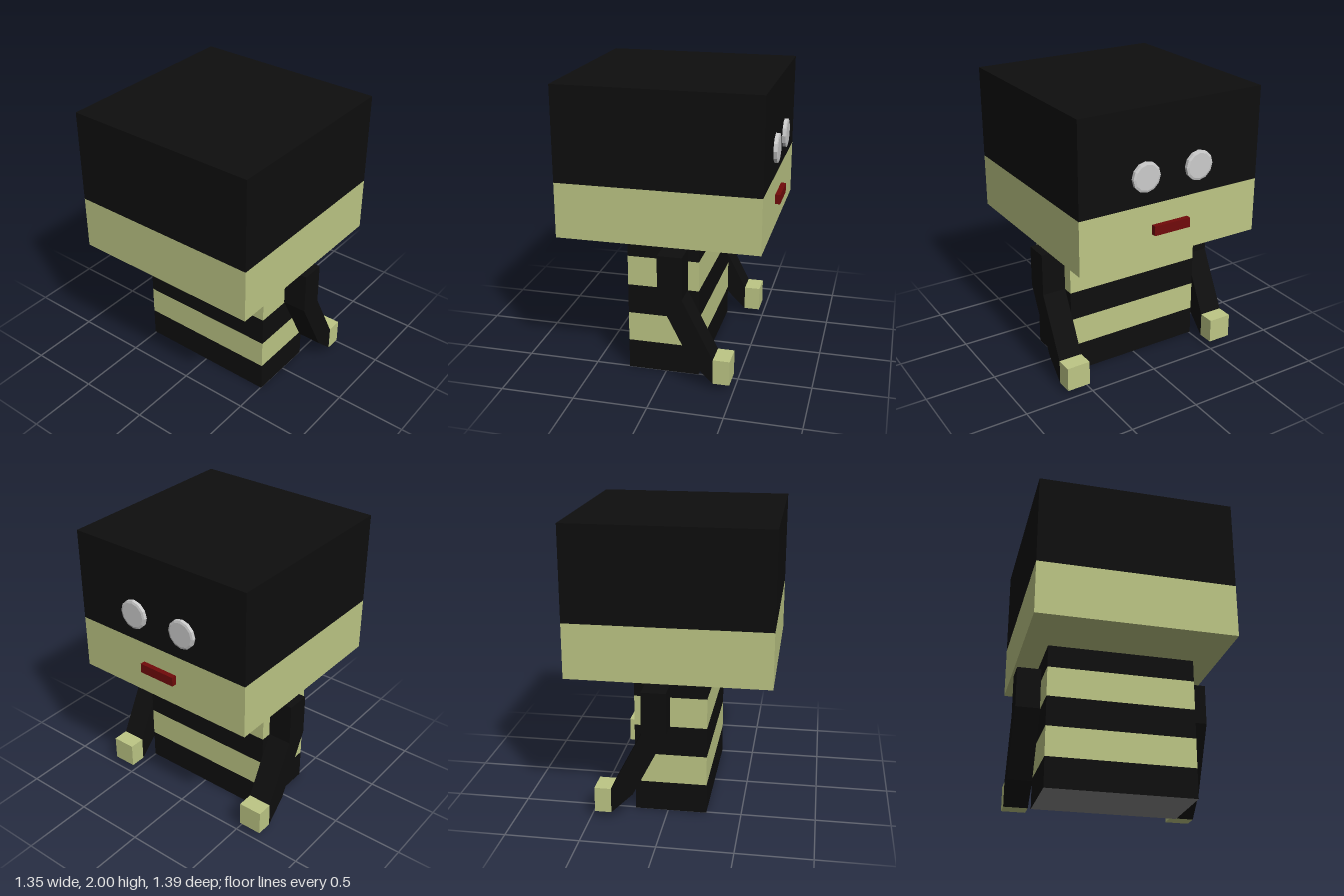
import * as THREE from 'three';

const mat = (color) => new THREE.MeshStandardMaterial({ color, flatShading: true });

export function createModel() {
  const model = new THREE.Group();
  const black = mat(0x0e0e0e), pale = mat(0xbdc685), red = mat(0x700a0a);
  const grey = mat(0xcccccc), sole = mat(0x888888);

  // Box given by its minimum and maximum on each axis
  const box = (name, [x0, x1], [y0, y1], [z0, z1], material, parent = model) => {
    const mesh = new THREE.Mesh(new THREE.BoxGeometry(x1 - x0, y1 - y0, z1 - z0), material);
    mesh.position.set((x0 + x1) / 2, (y0 + y1) / 2, (z0 + z1) / 2);
    mesh.name = name;
    parent.add(mesh);
    return mesh;
  };

  // Head: pale lower face under a black upper block
  box('lowerHead', [-0.677, 0.675], [0.985, 1.36], [-0.66, 0.697], pale);
  box('upperHead', [-0.677, 0.675], [1.36, 2], [-0.66, 0.697], black);

  // Striped body with a grey underside
  const body = new THREE.Group();
  body.name = 'body';
  const levels = [0, 0.208, 0.415, 0.622, 0.83, 0.985];
  for (let i = 0; i < 5; i++) {
    const material = i % 2 ? pale : black;
    const sides = i ? material : [black, black, black, sole, black, black];
    box('bodyStripe' + (i + 1), [-0.51, 0.505], [levels[i], levels[i + 1]], [-0.225, 0.263], sides, body);
  }
  model.add(body);

  // Bent arm outline in (-z, y), extruded sideways
  const outline = [[-0.015, 0.92], [-0.015, 0.63], [0.21, 0.19], [0.36, 0.043],
    [0.36, 0.217], [0.15, 0.625], [0.15, 0.92]];
  const armShape = new THREE.Shape(outline.map(([u, v]) => new THREE.Vector2(u, v)));
  const armGeometry = new THREE.ExtrudeGeometry(armShape, { depth: 0.168, bevelEnabled: false });
  armGeometry.rotateY(Math.PI / 2);
  for (const [side, x] of [['left', 0.506], ['right', -0.678]]) {
    const arm = new THREE.Mesh(armGeometry, black);
    arm.name = side + 'Arm';
    arm.position.x = x;
    model.add(arm);
    box(side + 'Hand', [x, x + 0.168], [0.043, 0.217], [-0.473, -0.36], pale);
  }

  // Round eyes with a slightly bevelled rim
  const rim = [[0, 0.027], [0.085, 0.027], [0.1, 0.022], [0.1, 0]];
  const eyeGeometry = new THREE.LatheGeometry(rim.map(([r, h]) => new THREE.Vector2(r, h)).reverse(), 12);
  eyeGeometry.rotateX(-Math.PI / 2);
  for (const [side, x] of [['left', 0.202], ['right', -0.195]]) {
    const eye = new THREE.Mesh(eyeGeometry, grey);
    eye.name = side + 'Eye';
    eye.position.set(x, 1.555, -0.66);
    model.add(eye);
  }

  // Mouth
  box('mouth', [-0.125, 0.145], [1.15, 1.216], [-0.695, -0.66], red);

  return model;
}
